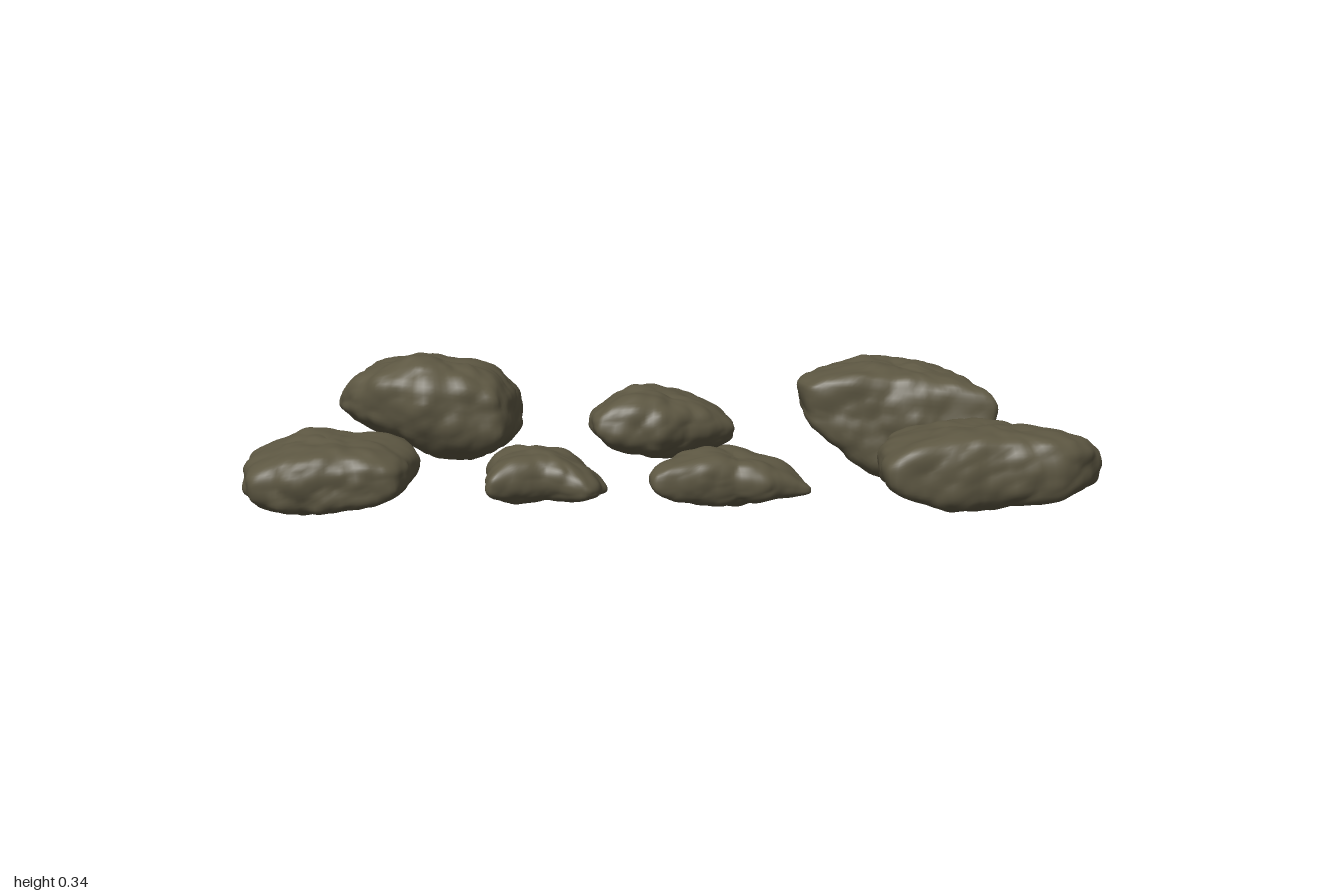
import * as THREE from 'three';
import { mergeVertices } from 'three/addons/utils/BufferGeometryUtils.js';

const SIDES = 96, RINGS = 40;

function hash(x, y, z) {
  const s = Math.sin(x * 127.1 + y * 311.7 + z * 74.7) * 43758.5453;
  return s - Math.floor(s);
}

// Distance to the nearest scattered cell point: rounded lumps with creases between
function cells(p, freq) {
  const x = p.x * freq, y = p.y * freq, z = p.z * freq;
  const ix = Math.floor(x), iy = Math.floor(y), iz = Math.floor(z);
  let best = 9;
  for (let i = ix - 1; i <= ix + 1; i++)
    for (let j = iy - 1; j <= iy + 1; j++)
      for (let k = iz - 1; k <= iz + 1; k++)
        best = Math.min(best, Math.hypot(i + hash(i, j, k) - x, j + hash(j, k, i + 7) - y, k + hash(k, i, j + 13) - z));
  return best;
}

// Height that eases from both ends to an extreme at fraction `at`
function arch([left, at, extreme, right], t, power) {
  const u = THREE.MathUtils.clamp(t < at ? t / at : (1 - t) / (1 - at), 0, 1);
  return THREE.MathUtils.lerp(t < at ? left : right, extreme, Math.pow(Math.sin(u * Math.PI / 2), power));
}

// Loft a lobed ellipse from the underside to the crown, then roughen it.
// lobes: reach in eight directions, from -x by way of the back; square: boxiness of the section;
// tilt and under: slope of the top and of the underside along z
function rockGeometry({ at: [cx, cz], half: [rx, rz], lobes, top, bottom, square, tilt = 0, under = 0 }) {
  const curve = new THREE.CatmullRomCurve3(lobes.map((f, k) => {
    const a = k * Math.PI * 2 / lobes.length;
    return new THREE.Vector3(cx - f * rx * Math.cos(a), 0, cz - f * rz * Math.sin(a));
  }), true, 'catmullrom', 0.3);
  const outline = curve.getSpacedPoints(SIDES).slice(0, SIDES);
  const core = new THREE.Vector3(cx, (top[2] + bottom[2]) / 2, cz);
  const pos = [], index = [];
  for (let i = 0; i <= RINGS; i++) {
    const a = Math.PI * (i / RINGS - 0.5);
    const c = Math.max(0, Math.cos(a)), s = Math.sin(a);
    const r = Math.pow(Math.pow(c, square) + Math.pow(Math.abs(s), square), -1 / square);
    const spread = i % RINGS === 0 ? 0 : c * r;
    for (let j = 0; j < SIDES; j++) {
      const x = cx + (outline[j].x - cx) * spread, z = cz + (outline[j].z - cz) * spread;
      const t = (x - cx + rx) / (2 * rx);
      const low = arch(bottom, t, 1.3) + under * (z - cz);
      const high = arch(top, t, 0.8) + tilt * (z - cz);
      const p = new THREE.Vector3(x, THREE.MathUtils.lerp(low, high, 0.5 + 0.5 * s * r), z);
      const bump = 0.024 * (0.5 - cells(p, 9)) + 0.012 * (0.45 - cells(p, 20));
      p.addScaledVector(p.clone().sub(core).normalize(), bump);
      pos.push(p.x, Math.max(0, p.y), p.z);
      const k = (j + 1) % SIDES, q = i * SIDES;
      if (i > 0 && i < RINGS) index.push(q + j, q + SIDES + j, q + k);
      if (i < RINGS - 1) index.push(q + k, q + SIDES + j, q + SIDES + k);
    }
  }
  const g = new THREE.BufferGeometry();
  g.setAttribute('position', new THREE.Float32BufferAttribute(pos, 3));
  g.setIndex(index);
  const merged = mergeVertices(g, 1e-5);
  merged.computeVertexNormals();
  return merged;
}

export function createModel() {
  const model = new THREE.Group();
  model.name = 'rocks';
  const stone = new THREE.MeshStandardMaterial({ color: 0x5e5843 });
  stone.name = 'stone';
  const addRock = (name, shape) => {
    const mesh = new THREE.Mesh(rockGeometry(shape), stone);
    mesh.name = name;
    model.add(mesh);
  };

  // Back row
  addRock('backRightHandRock', {
    at: [-0.6, -0.23], half: [0.23, 0.18], lobes: [0.98, 1.15, 0.82, 1.33, 0.93, 1.15, 1, 0.9],
    top: [0.24, 0.46, 0.32, 0.25], bottom: [0.16, 0.75, 0.05, 0.08], tilt: 0.12, under: 0.18, square: 3.5 });
  addRock('backMiddleRock', {
    at: [-0.035, -0.17], half: [0.185, 0.19], lobes: [0.92, 0.82, 0.97, 1.25, 1, 0.67, 0.76, 1.15],
    top: [0.22, 0.35, 0.245, 0.18], bottom: [0.14, 0.5, 0.085, 0.09], tilt: 0.08, square: 2.8 });
  addRock('backLeftHandRock', {
    at: [0.55, -0.225], half: [0.25, 0.135], lobes: [0.97, 0.78, 1, 0.78, 0.72, 1.35, 0.97, 1.18],
    top: [0.27, 0.35, 0.297, 0.25], bottom: [0.18, 0.57, 0.005, 0.06], square: 7 });

  // Front row
  addRock('frontRightHandRock', {
    at: [-0.8, 0.22], half: [0.2, 0.15], lobes: [1, 1.15, 0.95, 1.27, 0.95, 1.1, 1, 1.14],
    top: [0.18, 0.5, 0.228, 0.19], bottom: [0.08, 0.4, 0.068, 0.09], square: 4 });
  addRock('frontInnerRightRock', {
    at: [-0.3, 0.23], half: [0.14, 0.12], lobes: [0.95, 1.25, 0.85, 1, 1, 1.05, 0.65, 1.32],
    top: [0.18, 0.32, 0.203, 0.13], bottom: [0.085, 0.5, 0.078, 0.08], tilt: -0.06, square: 2.4 });
  addRock('frontInnerLeftRock', {
    at: [0.135, 0.22], half: [0.195, 0.12], lobes: [0.9, 0.77, 1, 1.1, 0.98, 0.6, 0.6, 1.28],
    top: [0.185, 0.3, 0.193, 0.11], bottom: [0.1, 0.5, 0.072, 0.075], square: 3 });
  addRock('frontLeftHandRock', {
    at: [0.735, 0.225], half: [0.265, 0.185], lobes: [0.98, 1.12, 0.83, 0.74, 1.01, 0.86, 0.73, 1.27],
    top: [0.22, 0.4, 0.252, 0.22], bottom: [0.11, 0.4, 0.068, 0.09], tilt: 0.08, square: 4 });
  return model;
}
